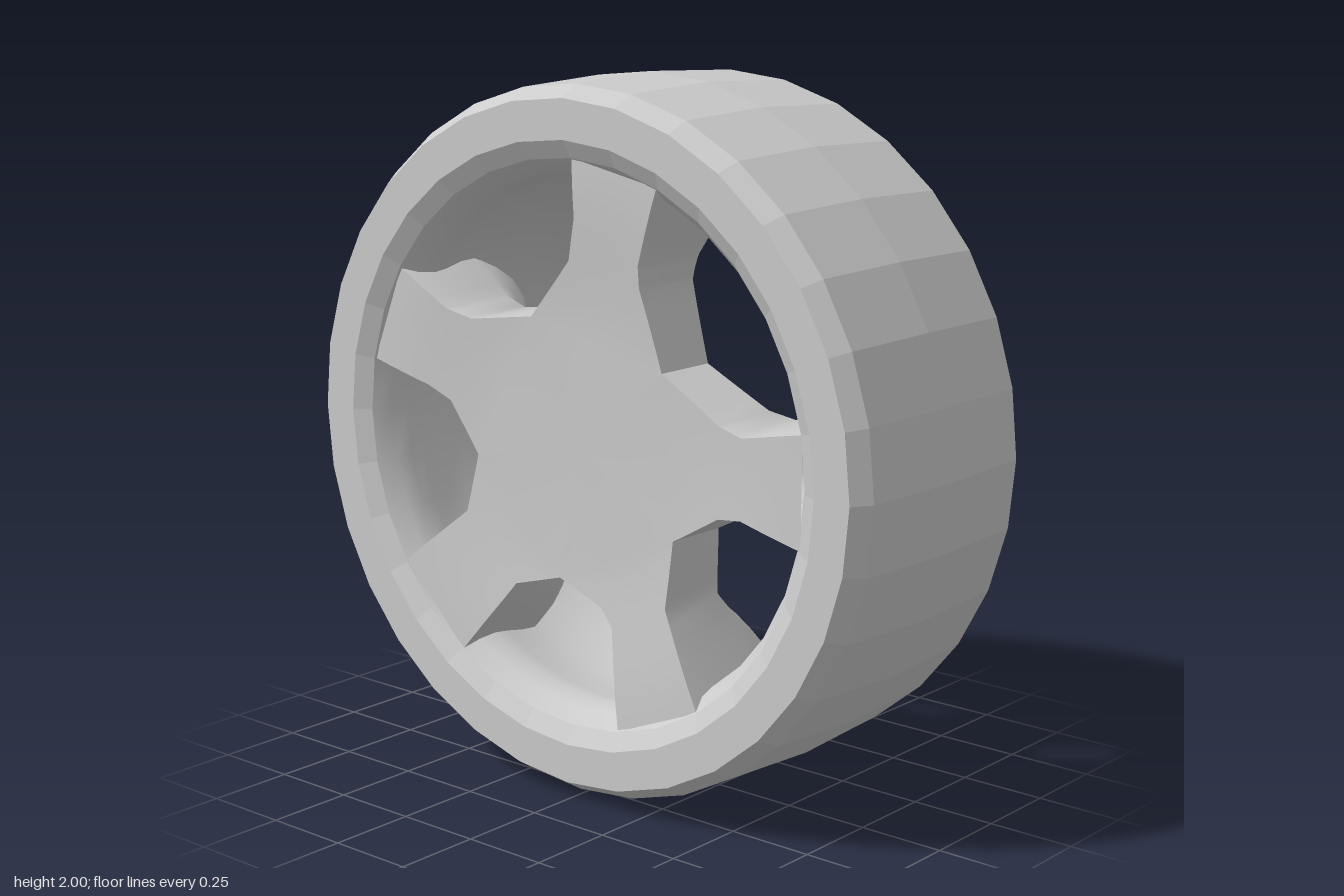
import * as THREE from 'three';
import { toCreasedNormals, mergeVertices } from 'three/addons/utils/BufferGeometryUtils.js';

const SEGMENTS = 32;

// Turn a [radius, z] profile around the z axis
function ring(profile) {
  const pts = profile.map(([r, z]) => new THREE.Vector2(r, z));
  return new THREE.LatheGeometry(pts, SEGMENTS).rotateX(Math.PI / 2);
}

// Window outlines, clockwise; each runs from one spoke tip to the next
const windows = [
  [[0.29, 0.72], [0.22, 0.52], [0.22, 0.46], [0.29, 0.24], [0.49, 0.13], [0.57, 0.11], [0.77, 0.15]],
  [[0.76, -0.15], [0.57, -0.11], [0.49, -0.12], [0.33, -0.21], [0.31, -0.4], [0.43, -0.65]],
  [[0.155, -0.765], [0.12, -0.49], [0.075, -0.44], [-0.08, -0.385], [-0.24, -0.43], [-0.29, -0.49], [-0.43, -0.65]],
  [[-0.66, -0.43], [-0.43, -0.25], [-0.39, -0.08], [-0.49, 0.065], [-0.57, 0.1], [-0.775, 0.155]],
  [[-0.66, 0.43], [-0.49, 0.33], [-0.4, 0.31], [-0.18, 0.34], [-0.03, 0.51], [0, 0.63], [0, 0.79]],
].map((w) => w.map(([x, y]) => new THREE.Vector2(x, y)));

// Split a window at its deepest point into the two spoke edges beside it
function splitWindow(w) {
  let deep = 0;
  w.forEach((p, i) => { if (p.length() < w[deep].length()) deep = i; });
  const extend = (chain) => {
    const last = chain.length - 1;
    chain[last] = chain[last].clone().setLength(0.79);
    return chain;
  };
  return { start: extend(w.slice(0, deep + 1).reverse()), end: extend(w.slice(deep)) };
}

function along(chain, t) {
  const f = t * (chain.length - 1);
  const i = Math.min(Math.floor(f), chain.length - 2);
  return chain[i].clone().lerp(chain[i + 1], f - i);
}

// Front face: slightly dished hub
const frontZ = (r) => 0.3 + 0.03 * THREE.MathUtils.smoothstep(r, 0.3, 0.78);

// Back face: shallow at the hub, with a rounded ridge down each spoke (s runs -1 to 1 across it)
const backZ = (r, s) => 0.11 - THREE.MathUtils.smoothstep(r, 0.36, 0.76) * (0.04 + 0.24 * (1 - s * s));

// One spoke with its slice of the hub, lofted through closed sections
function spokeGeometry(edgeA, edgeB) {
  const ROWS = 12, COLS = 8, RING = 2 * (COLS + 1);
  const pos = [], index = [];
  for (let row = 0; row <= ROWS + 1; row++) {
    const t = Math.max(0, (row - 1) / ROWS);
    const a = row ? along(edgeA, t) : new THREE.Vector2();
    const b = row ? along(edgeB, t) : new THREE.Vector2();
    for (let k = 0; k <= COLS; k++) {
      const p = a.clone().lerp(b, k / COLS);
      pos.push(p.x, p.y, frontZ(p.length()));
    }
    for (let k = COLS; k >= 0; k--) {
      const s = 2 * k / COLS - 1;
      const p = a.clone().lerp(b, 0.5 + s * (0.5 + 0.07 * t));
      pos.push(p.x, p.y, backZ(p.length(), s));
    }
  }
  for (let row = 0; row <= ROWS; row++) {
    for (let k = 0; k < RING; k++) {
      const side = k === COLS || k === RING - 1;
      if (row === 0 && side) continue; // slices meet inside the hub
      const n = (k + 1) % RING;
      const p = row * RING, q = p + RING;
      if (row > 0) index.push(p + k, p + n, q + n);
      index.push(p + k, q + n, q + k);
    }
  }
  const geo = new THREE.BufferGeometry();
  geo.setAttribute('position', new THREE.Float32BufferAttribute(pos, 3));
  geo.setIndex(index);
  return toCreasedNormals(mergeVertices(geo), 1.1);
}

export function createModel() {
  const model = new THREE.Group();
  model.name = 'wheel';
  const flat = new THREE.MeshStandardMaterial({ color: 0xcccccc, flatShading: true });
  const smooth = new THREE.MeshStandardMaterial({ color: 0xcccccc, side: THREE.DoubleSide });

  const add = (parent, name, geometry, material) => {
    const mesh = new THREE.Mesh(geometry, material);
    mesh.name = name;
    parent.add(mesh);
  };

  const wheel = new THREE.Group();
  wheel.name = 'wheelAssembly';
  wheel.position.y = 1;
  model.add(wheel);

  // Tyre: crowned tread, chamfered shoulders, flat sidewalls and rim bevels
  add(wheel, 'tyre', ring([
    [0.79, -0.335], [0.84, -0.365], [0.96, -0.365], [0.985, -0.34], [1, 0],
    [0.985, 0.31], [0.95, 0.365], [0.84, 0.365], [0.79, 0.335],
  ]), flat);

  // Rim barrel: front lip, undercut, then a taper to the narrow rolled back lip
  add(wheel, 'rimBarrel', toCreasedNormals(ring([
    [0.79, 0.335], [0.755, 0.29], [0.74, 0.24], [0.745, 0.19], [0.76, 0.12],
    [0.76, 0.03], [0.745, -0.06], [0.72, -0.15], [0.695, -0.22], [0.683, -0.27],
    [0.69, -0.31], [0.72, -0.335], [0.755, -0.34], [0.79, -0.335],
  ]), 0.8), smooth);

  // Five spokes, whose inner slices together form the hub
  const spokes = new THREE.Group();
  spokes.name = 'spokes';
  wheel.add(spokes);
  const edges = windows.map(splitWindow);
  edges.forEach((edge, i) => {
    const next = edges[(i + 1) % edges.length];
    add(spokes, `spoke${i + 1}`, spokeGeometry(edge.end, next.start), smooth);
  });
  return model;
}
